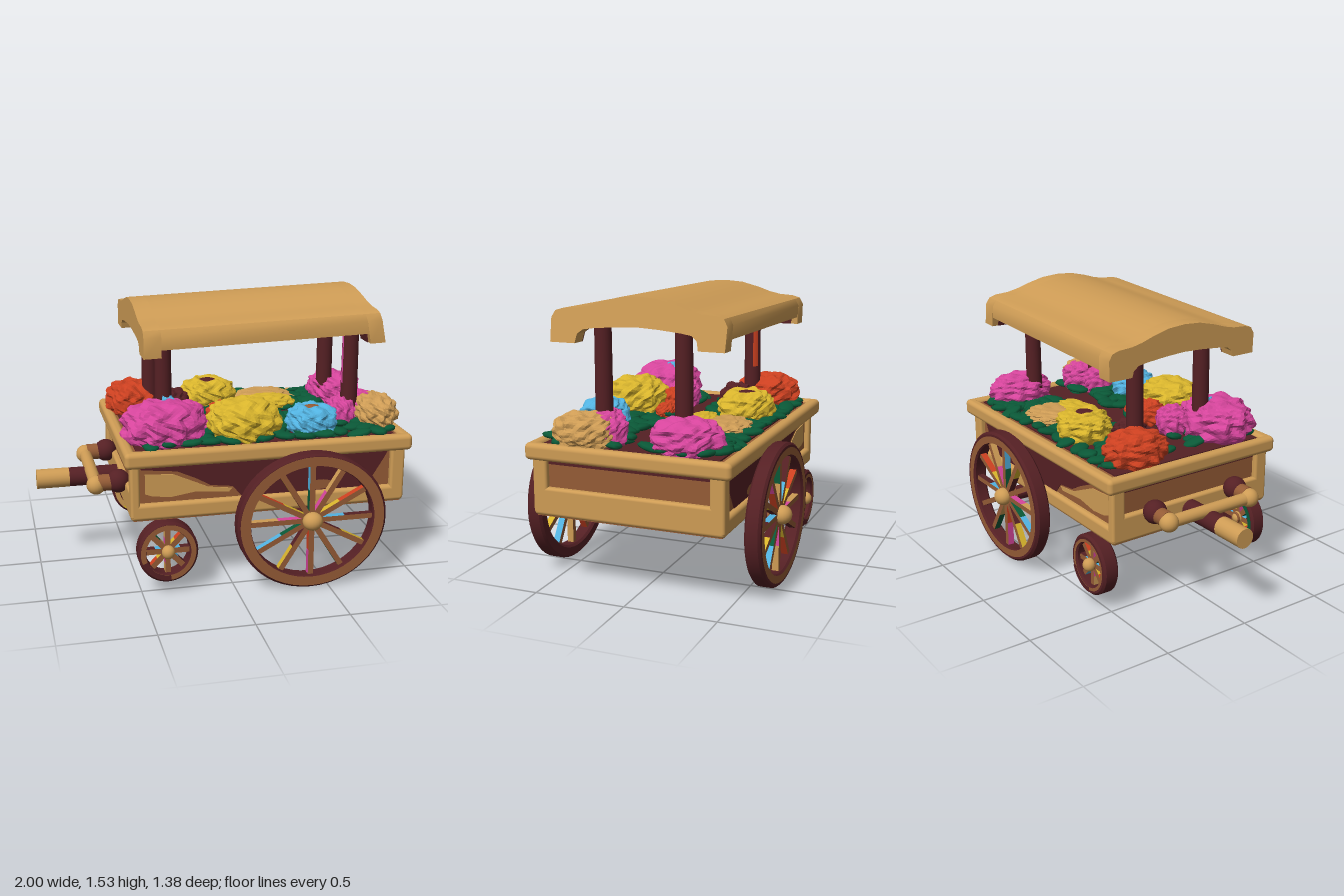
import * as THREE from 'three';
import { toCreasedNormals } from 'three/addons/utils/BufferGeometryUtils.js';
import { RoundedBoxGeometry } from 'three/addons/geometries/RoundedBoxGeometry.js';

const material = (name, color) => {
  const m = new THREE.MeshStandardMaterial({ color });
  m.name = name;
  return m;
};

export function createModel() {
  const M = {
    tan: material('pale wood', 0xce9c55), brown: material('brown wood', 0x955c36),
    maroon: material('dark wood', 0x552024), pink: material('pink petals', 0xd6459c),
    yellow: material('yellow petals', 0xd8b42c), blue: material('blue petals', 0x52b2e0),
    red: material('red petals', 0xcc4020), green: material('green leaves', 0x0a5837),
  };
  const model = new THREE.Group();
  model.name = 'flowerCart';

  let seed = 7;
  const rand = () => (seed = (seed * 16807) % 2147483647) / 2147483647;

  const add = (name, geo, mat, x = 0, y = 0, z = 0, parent = model) => {
    const mesh = new THREE.Mesh(geo, mat);
    mesh.name = name;
    mesh.position.set(x, y, z);
    parent.add(mesh);
    return mesh;
  };
  // Box given by its lower and upper limits
  const box = (name, mat, [x0, x1], [y0, y1], [z0, z1], r = 0.015) => add(name,
    r ? new RoundedBoxGeometry(x1 - x0, y1 - y0, z1 - z0, 3, r) : new THREE.BoxGeometry(x1 - x0, y1 - y0, z1 - z0),
    mat, (x0 + x1) / 2, (y0 + y1) / 2, (z0 + z1) / 2);
  const rodX = (r, len) => new THREE.CylinderGeometry(r, r, len, 20).rotateZ(Math.PI / 2);
  const rodZ = (r, len) => new THREE.CylinderGeometry(r, r, len, 20).rotateX(Math.PI / 2);
  const ball = r => new THREE.SphereGeometry(r, 20, 14);
  const toShape = pts => new THREE.Shape(pts.map(p => new THREE.Vector2(...p)));

  // Cart body: recessed panels framed by a base, end sills and corner posts
  box('bodyPanels', M.brown, [-0.52, 0.93], [0.45, 0.75], [-0.49, 0.49], 0);
  box('bodyBase', M.tan, [-0.55, 0.96], [0.41, 0.5], [-0.52, 0.52], 0.02);
  box('underside', M.brown, [-0.535, 0.945], [0.406, 0.412], [-0.505, 0.505], 0);
  for (const [x0, x1] of [[-0.55, -0.5], [0.91, 0.96]]) box('endSill', M.tan, [x0, x1], [0.43, 0.56], [-0.5, 0.5]);
  // Dark stain with a bare spot, and a pale worn patch, on the long sides
  const stain = toShape([[-0.5, 0.72], [-0.49, 0.685], [-0.3, 0.665], [-0.2, 0.62], [-0.12, 0.575], [0, 0.56], [0.05, 0.5],
    [0.75, 0.5], [0.8, 0.58], [0.85, 0.66], [0.88, 0.72]]);
  stain.holes.push(new THREE.Path().absellipse(0.49, 0.53, 0.07, 0.028, 0, Math.PI * 2, true));
  const worn = toShape([[-0.47, 0.66], [-0.32, 0.65], [-0.23, 0.61], [-0.13, 0.565], [0, 0.55], [-0.02, 0.53],
    [-0.2, 0.545], [-0.33, 0.525], [-0.43, 0.535], [-0.47, 0.55]]);
  for (const s of [-1, 1]) {
    for (const [x0, x1] of [[-0.55, -0.5], [0.88, 0.96]]) {
      box('cornerPost', M.tan, [x0, x1], [0.42, 0.74], s > 0 ? [0.44, 0.52] : [-0.52, -0.44]);
    }
    const plate = { depth: 0.004, bevelEnabled: false };
    add('panelStain', new THREE.ExtrudeGeometry(stain, plate), M.maroon, 0, 0, s * 0.492 - 0.002);
    add('panelWear', new THREE.ExtrudeGeometry(worn, plate), M.tan, 0, 0, s * 0.492 - 0.002);
  }
  box('endStain', M.maroon, [0.929, 0.934], [0.68, 0.72], [-0.44, 0.44], 0);
  box('endStain', M.maroon, [-0.524, -0.519], [0.68, 0.72], [-0.44, 0.44], 0);

  // Top rim, inner ledge and soil
  for (const [z0, z1] of [[-0.56, -0.495], [0.485, 0.55]]) box('sideRim', M.tan, [-0.58, 0.99], [0.705, 0.793], [z0, z1], 0.025);
  for (const [x0, x1] of [[-0.58, -0.52], [0.93, 0.99]]) box('endRim', M.tan, [x0, x1], [0.705, 0.793], [-0.56, 0.55], 0.025);
  box('ledge', M.brown, [-0.54, 0.95], [0.74, 0.775], [-0.51, 0.51], 0);
  box('soil', M.maroon, [-0.51, 0.91], [0.75, 0.783], [-0.475, 0.475], 0);

  // Roof: rounded ridge, side eaves and deeper end hems, sheared to tilt
  const outer = bottom => [[0, 1.49], [0.1, 1.483], [0.2, 1.458], [0.27, 1.435], [0.33, 1.422], [0.41, 1.417], [0.45, 1.405],
    [0.47, 1.37], [0.467, bottom]];
  const hemInner = bottom => [[0.33, bottom], [0.32, 1.295], [0.29, 1.318], [0.24, 1.326], [0.12, 1.337], [0, 1.343]];
  const shellInner = [[0.43, 1.302], [0.42, 1.375], [0.3, 1.385], [0.2, 1.405], [0, 1.44]];
  const linerInner = [[0.41, 1.302], [0.4, 1.362], [0.3, 1.372], [0.2, 1.392], [0, 1.427]];
  const shellTop = shellInner.slice().reverse();
  const mirror = pts => pts.map(([z, y]) => [-z, y]).reverse();
  const roofPart = (name, mat, top, bottom, x0, x1) => {
    const shape = toShape([...mirror(top).slice(0, -1), ...top, ...bottom, ...mirror(bottom).slice(1)]);
    const g = new THREE.ExtrudeGeometry(shape, { depth: x1 - x0, bevelEnabled: false });
    g.rotateY(Math.PI / 2).translate(x0, 0, 0);
    const p = g.attributes.position;
    for (let i = 0; i < p.count; i++) {
      const t = (p.getX(i) + 0.46) / 1.25, y = p.getY(i);
      p.setXYZ(i, p.getX(i) + (1.49 - y) * 0.2 * t, y + 0.04 * t + 0.002, p.getZ(i) - 0.005);
    }
    g.computeVertexNormals();
    add(name, toCreasedNormals(g, 0.6), mat);
  };
  roofPart('roofShell', M.tan, outer(1.302), shellInner, -0.37, 0.71);
  roofPart('roofLining', M.maroon, shellTop, linerInner, -0.37, 0.71);
  for (const [x0, x1, bottom, lining] of [[-0.46, -0.37, 1.262, -0.37], [0.71, 0.79, 1.248, 0.704]]) {
    roofPart('roofHem', M.tan, outer(bottom), hemInner(bottom), x0, x1);
    roofPart('hemLining', M.maroon, [...shellTop, [0.43, bottom]], hemInner(bottom), lining, lining + 0.006);
  }
  for (const x of [-0.32, 0.73]) for (const z of [-0.22, 0.22]) {
    add('roofPost', new THREE.CylinderGeometry(0.044, 0.047, 0.66, 20), M.maroon, x, 1.1, z);
  }
  for (const [x, z, angle, arc, mat] of [[-0.32, -0.22, 0.62, 0.2, M.red], [0.73, 0.22, 1.52, 0.1, M.pink]]) {
    add('postStain', new THREE.CylinderGeometry(0.047, 0.049, 0.34, 6, 1, true, Math.PI * angle, Math.PI * arc), mat, x, 1.19, z);
  }

  // Wheels: the axis is z and s is the outer side
  const tints = [M.blue, M.tan, M.red, M.maroon, M.green, M.pink, M.yellow];
  const wheel = (name, x, y, z, s, R, r, w, spokes, bar, hub, sx, sy) => {
    const g = new THREE.Group();
    g.name = name;
    g.position.set(x, y, z);
    g.scale.set(sx, sy, 1);
    model.add(g);
    const h = w / 2, b = 0.012;
    const ring = [[R - b, -h], [R, -h + b], [R, h - b], [R - b, h], [r + b, h], [r, h - b], [r, -h + b], [r + b, -h], [R - b, -h]];
    const rim = new THREE.LatheGeometry(ring.map(p => new THREE.Vector2(...p)), 48).rotateX(Math.PI / 2);
    add('rim', toCreasedNormals(rim, 0.5), M.maroon, 0, 0, 0, g);
    const face = new THREE.RingGeometry(r + 0.004, R - (s < 0 ? 0.024 : 0.013), 48);
    if (s < 0) face.rotateY(Math.PI);
    add('rimFace', face, M.brown, 0, 0, s * (h + 0.002), g);
    // Each spoke has two lengths with differently stained sides
    const L = ((R + r) / 2 - 0.005) / 2;
    for (let i = 0; i < spokes * 2; i++) {
      const side = tints[(i * 3) % 7], other = tints[(i * 3 + 4) % 7];
      const spoke = add('spoke', new THREE.BoxGeometry(L, bar, bar * 1.3).translate(L * (0.5 + i % 2), 0, 0),
        [M.brown, M.brown, side, other, M.brown, M.brown], 0, 0, 0, g);
      spoke.rotation.z = Math.floor(i / 2) / spokes * Math.PI * 2;
    }
    add('hub', rodZ(hub * 0.9, w * 0.9), M.brown, 0, 0, 0, g);
    add('hubCap', ball(hub), M.tan, 0, 0, s * (h - hub * 0.22), g);
    return g;
  };
  for (const s of [-1, 1]) {
    wheel('largeWheel', 0.403, 0.379, s * 0.607, s, 0.378, 0.31, 0.085, 12, 0.028, 0.05, 1.09, 1);
    const small = wheel('smallWheel', -0.36, 0.235, s * 0.508, s, 0.165, 0.12, 0.092, 8, 0.03, 0.036, 0.98, 1.03);
    add('innerHubCap', ball(0.034), M.tan, 0, 0, -s * 0.018, small);
    // Stained arcs on both faces of the rim
    [[M.tan, 1.6, 2.4, -s], [M.green, -1.2, 2.2, -s], [M.yellow, 4, 0.9, -s], [M.maroon, 3.5, 1.3, s]].forEach(([mat, start, arc, dir]) => {
      const stainArc = new THREE.RingGeometry(0.124, 0.152, 20, 1, start, arc);
      if (dir < 0) stainArc.rotateY(Math.PI);
      add('rimStain', stainArc, mat, 0, 0, dir * 0.05, small);
    });
  }
  add('axle', rodZ(0.042, 1.18), M.maroon, 0.403, 0.379, 0);

  // Pulling pole and cross handle
  add('poleGrip', rodX(0.054, 0.18), M.tan, -0.91, 0.495, -0.02);
  add('pole', rodX(0.053, 0.3), M.maroon, -0.67, 0.495, -0.02);
  add('handleBar', rodZ(0.034, 0.54), M.tan, -0.7, 0.54, 0);
  for (const z of [-0.275, 0.265]) {
    add('handleKnob', ball(0.052), M.tan, -0.7, 0.54, z);
    add('handleMount', rodX(0.045, 0.14), M.brown, -0.62, 0.55, z);
    add('mountBoss', ball(0.064), M.maroon, -0.58, 0.555, z);
  }

  // Ruffled flower clumps: x, z, x radius, z radius, top, colour, centre
  const flower = ([x, z, rx, rz, top, color, centre]) => {
    const geo = new THREE.IcosahedronGeometry(1, 10);
    const p = geo.attributes.position, v = new THREE.Vector3(), k = x * 9 + z * 5;
    for (let i = 0; i < p.count; i++) {
      v.fromBufferAttribute(p, i);
      const a = v.x * 11 + k, b = v.y * 9 + k, c = v.z * 11 - k;
      const ruffle = 0.05 * Math.sin(a + 1.4 * Math.sin(b)) + 0.05 * Math.sin(c + 1.4 * Math.sin(a * 0.8))
        + 0.03 * Math.sin(2 * b + a + c);
      const radial = Math.hypot(v.x, v.z);
      const dip = v.y > 0 && radial < 0.4 ? (0.4 - radial) * (centre ? 1.1 : 0.2) : 0;
      v.multiplyScalar(0.94 + ruffle);
      p.setXYZ(i, v.x, Math.sign(v.y) * Math.abs(v.y) ** 0.85 - dip, v.z);
    }
    const h = (top - 0.79) / 1.6;
    geo.scale(rx, h, rz);
    geo.computeVertexNormals();
    add('flower', geo, M[color], x, top - h, z);
    if (centre) add('flowerCentre', ball(rx * 0.38).scale(1, 0.3, 1), M[centre], x, top - h * 0.33, z);
  };
  [
    [-0.34, 0.32, 0.23, 0.2, 1.01, 'pink'], [0.1, 0.33, 0.21, 0.18, 1.0, 'yellow'],
    [0.48, 0.34, 0.145, 0.14, 0.95, 'blue', 'brown'], [0.69, 0.22, 0.08, 0.1, 0.95, 'pink'],
    [0.82, 0.17, 0.11, 0.12, 0.955, 'pink'], [0.87, 0.26, 0.125, 0.18, 0.96, 'tan'],
    [0.81, -0.27, 0.16, 0.2, 0.96, 'pink'], [-0.42, -0.29, 0.155, 0.18, 0.97, 'red'],
    [0.04, -0.31, 0.17, 0.16, 0.96, 'yellow', 'maroon'], [0.38, -0.3, 0.19, 0.15, 0.86, 'tan'],
    [0.36, -0.16, 0.17, 0.1, 0.87, 'yellow'], [-0.2, -0.17, 0.1, 0.1, 0.94, 'maroon'],
    [0.02, 0.13, 0.09, 0.08, 0.93, 'red'], [-0.17, 0.14, 0.1, 0.09, 0.95, 'pink'],
    [-0.07, 0.18, 0.07, 0.07, 0.86, 'pink'], [0.16, 0.12, 0.07, 0.06, 0.87, 'red'],
    [-0.3, 0.27, 0.07, 0.06, 1.02, 'blue'],
  ].forEach(flower);

  // Leaves round the edge and between the clumps
  const leaf = (x, z) => {
    const geo = new THREE.SphereGeometry(1, 9, 6).scale(0.075, 0.02, 0.045);
    const mesh = add('leaf', geo, M.green, x, 0.792 + rand() * 0.018, z);
    mesh.rotation.set((rand() - 0.5) * 0.4, rand() * 6.28, (rand() - 0.5) * 0.4);
  };
  for (let i = 0; i < 13; i++) for (const s of [-1, 1]) leaf(-0.43 + i * 0.104, s * (0.43 + rand() * 0.03));
  for (let i = 0; i < 4; i++) {
    for (const s of [-1, 1]) leaf(0.86 + rand() * 0.03, s * (0.1 + i * 0.1));
    leaf(0.62 + rand() * 0.08, -0.2 - i * 0.06);
  }
  for (let i = 0; i < 150; i++) leaf(-0.4 + rand() * 1.22, (i % 2 ? 1 : -1) * (0.08 + rand() * 0.35));
  return model;
}
